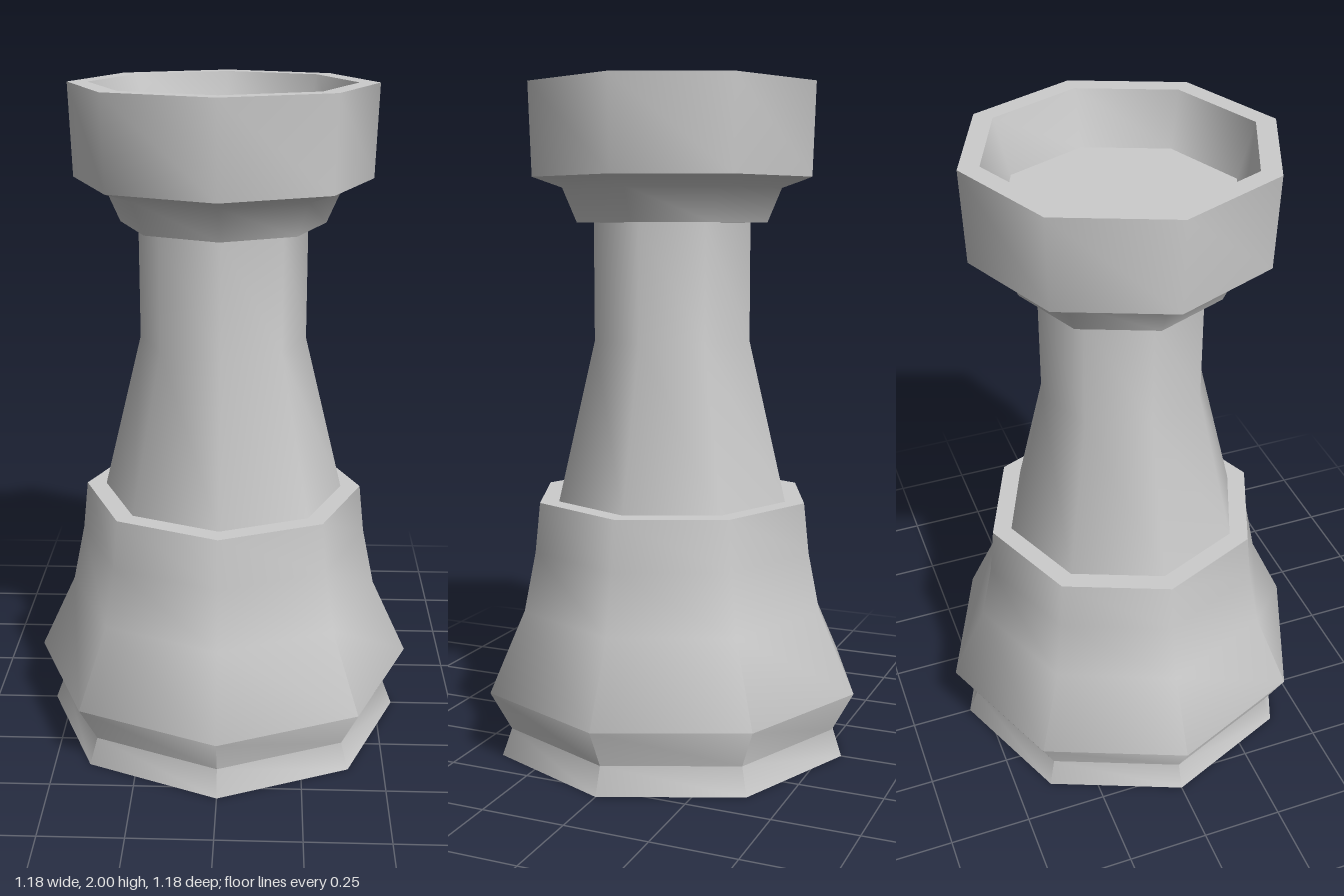
import * as THREE from 'three';
import { toCreasedNormals } from 'three/addons/utils/BufferGeometryUtils.js';

const SIDES = 8;
const material = new THREE.MeshStandardMaterial({ color: 0xcccccc });

// Eight-sided turned part from a [radius, height] profile running bottom to top
function turned(name, profile) {
  const points = profile.map(([r, y]) => new THREE.Vector2(r, y));
  const geometry = toCreasedNormals(new THREE.LatheGeometry(points, SIDES), Math.PI / 3);
  const mesh = new THREE.Mesh(geometry, material);
  mesh.name = name;
  return mesh;
}

export function createModel() {
  const group = new THREE.Group();
  group.name = 'chessRook';

  // Flared foot with closed underside and a flat ledge on top
  group.add(turned('base', [
    [0, 0], [0.555, 0], [0.525, 0.08], [0.59, 0.2], [0.48, 0.44],
    [0.443, 0.62], [0.427, 0.77], [0.367, 0.77],
  ]));

  // Tapered shaft with a straight neck
  group.add(turned('column', [[0.367, 0.77], [0.25, 1.25], [0.25, 1.6]]));

  // Collar, upright wall, rim and recessed floor
  group.add(turned('crown', [
    [0.25, 1.6], [0.303, 1.6], [0.347, 1.7], [0.438, 1.73], [0.447, 2],
    [0.387, 2], [0.34, 1.84], [0, 1.84],
  ]));

  return group;
}
